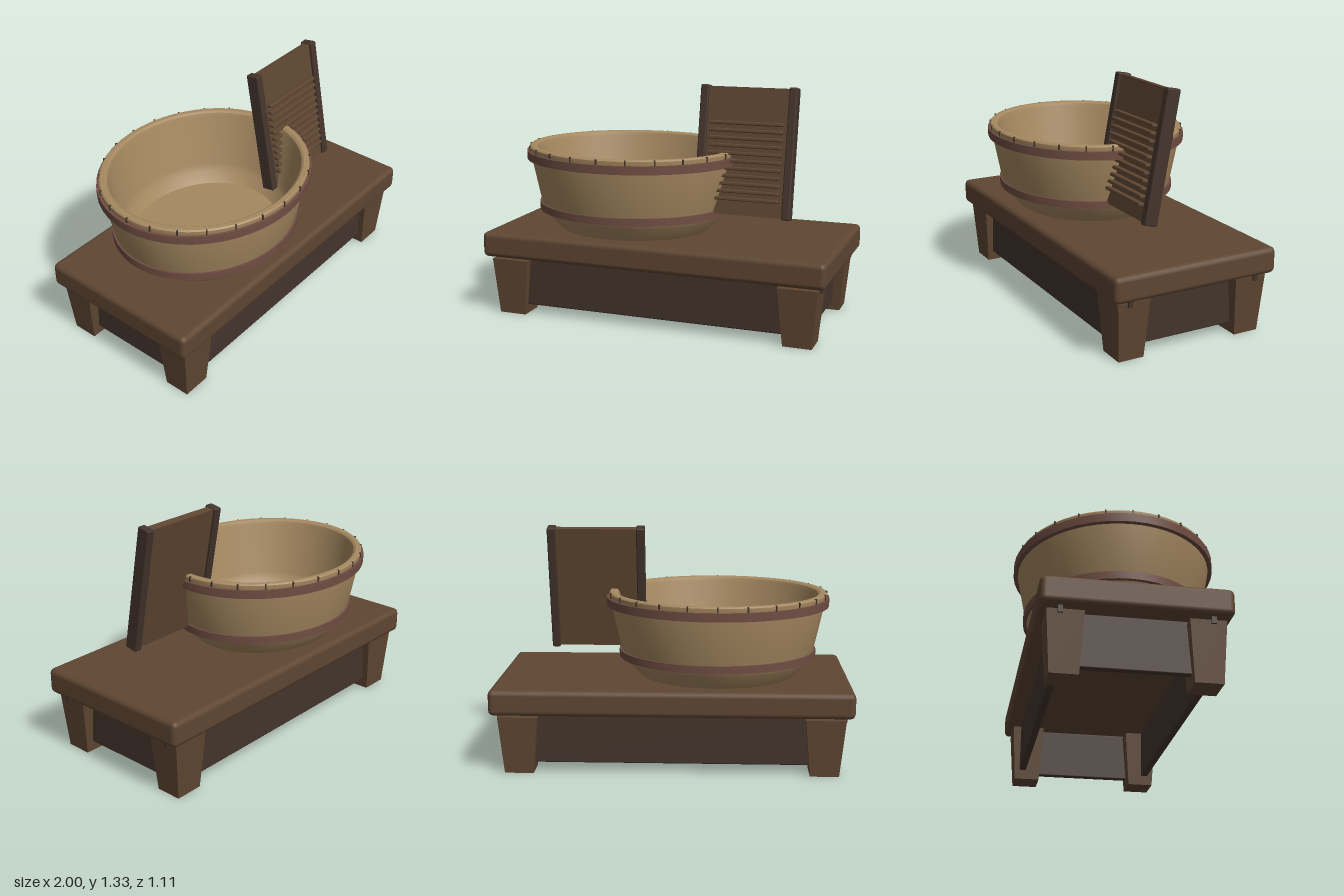
import * as THREE from 'three';
import { toCreasedNormals } from 'three/addons/utils/BufferGeometryUtils.js';
import { RoundedBoxGeometry } from 'three/addons/geometries/RoundedBoxGeometry.js';

const mat = (color) => new THREE.MeshStandardMaterial({ color });
const WOOD = mat(0x5f4632), DARK = mat(0x44342c), PALE = mat(0xa58860), HOOP = mat(0x6f4d42);
const TUB_X = -0.25, OVAL = 0.877;

function add(parent, name, geometry, material, x = 0, y = 0, z = 0) {
  const mesh = new THREE.Mesh(geometry, material);
  mesh.name = name;
  mesh.position.set(x, y, z);
  parent.add(mesh);
  return mesh;
}

const box = (w, h, d) => new THREE.BoxGeometry(w, h, d);
const rounded = (w, h, d, r) => new RoundedBoxGeometry(w, h, d, 2, r);

// Oval turned shape with sharp edges kept
function ovalLathe(points, segments) {
  const geo = new THREE.LatheGeometry(points.map(([r, y]) => new THREE.Vector2(r, y)), segments);
  geo.scale(1, 1, OVAL);
  return toCreasedNormals(geo, 0.45);
}

// Leg narrowing towards the floor
function legGeometry() {
  const geo = box(0.22, 0.325, 0.187);
  const p = geo.attributes.position;
  for (let i = 0; i < p.count; i++) {
    if (p.getY(i) < 0) p.setXYZ(i, p.getX(i) * 0.73, p.getY(i), p.getZ(i) * 0.78);
  }
  geo.computeVertexNormals();
  return geo;
}

function createBench() {
  const bench = new THREE.Group();
  bench.name = 'bench';
  add(bench, 'benchTop', rounded(2, 0.145, 0.97, 0.03), WOOD, 0, 0.4125, 0);
  for (const s of [-1, 1]) {
    add(bench, 'longApron', rounded(1.78, 0.285, 0.04, 0.008), DARK, 0, 0.1975, s * 0.38);
    add(bench, 'endApron', rounded(0.04, 0.285, 0.79, 0.008), DARK, s * 0.865, 0.1975, 0);
    for (const t of [-1, 1]) {
      add(bench, 'leg', legGeometry(), WOOD, s * 0.845, 0.1625, t * 0.354);
      add(bench, 'peg', box(0.03, 0.04, 0.025), DARK, s * 0.95, 0.323, t * 0.38);
    }
  }
  return bench;
}

function createTub() {
  const tub = new THREE.Group();
  tub.name = 'tub';
  tub.position.x = TUB_X;
  // Outside wall, rounded rim, inside wall and floor
  add(tub, 'tubBody', ovalLathe([
    [0, 0.483], [0.44, 0.483], [0.535, 0.575], [0.545, 0.6], [0.62, 0.945], [0.62, 0.958],
    [0.612, 0.965], [0.585, 0.965], [0.572, 0.957], [0.565, 0.94], [0.515, 0.635],
    [0.495, 0.59], [0.445, 0.535], [0, 0.535],
  ], 72), PALE);
  // Hoops
  for (const [r, y0, y1] of [[0.565, 0.592, 0.635], [0.635, 0.888, 0.935]]) {
    const inner = r - 0.03;
    add(tub, 'hoop', ovalLathe([[inner, y0], [r, y0], [r, y1], [inner, y1]], 48), HOOP);
  }
  // Stave seams above the upper hoop
  for (let i = 0; i < 24; i++) {
    const a = (i / 24) * Math.PI * 2;
    const seam = add(tub, 'staveSeam', box(0.012, 0.035, 0.008), DARK,
      Math.cos(a) * 0.618, 0.947, Math.sin(a) * 0.618 * OVAL);
    seam.rotation.y = -a;
  }
  return tub;
}

function createWashboard() {
  const board = new THREE.Group();
  board.name = 'washboard';
  board.position.set(0.443, 0.969, 0.054);
  board.rotation.x = -0.183;
  add(board, 'panel', box(0.48, 0.71, 0.045), WOOD);
  for (const s of [-1, 1]) {
    add(board, 'sideRail', rounded(0.047, 0.725, 0.078, 0.008), DARK, s * 0.253, 0, 0);
  }
  // Scrubbing ribs on the front
  for (let i = 0; i < 11; i++) {
    add(board, 'rib', rounded(0.42, 0.02, 0.034, 0.006), WOOD, 0, -0.265 + i * 0.042, 0.037);
  }
  return board;
}

export function createModel() {
  const model = new THREE.Group();
  model.name = 'washTubOnBench';
  model.add(createBench(), createTub(), createWashboard());
  return model;
}
